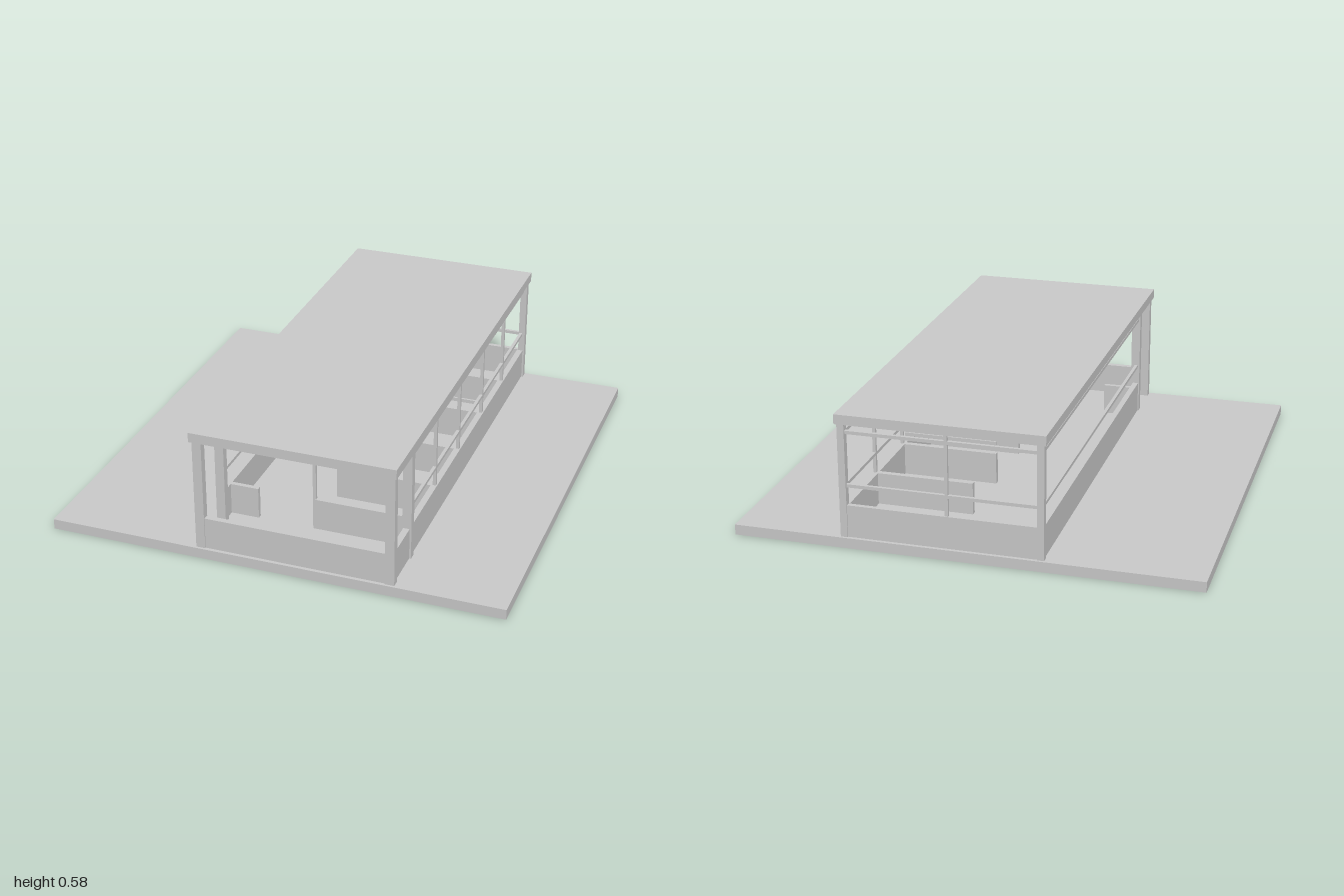
import * as THREE from 'three';

const mat = new THREE.MeshStandardMaterial({ color: 0xcccccc, flatShading: true });

export function createModel() {
  const root = new THREE.Group();

  // box given by its limits on each axis
  const box = (name, x0, x1, y0, y1, z0, z1) => {
    const mesh = new THREE.Mesh(new THREE.BoxGeometry(x1 - x0, y1 - y0, z1 - z0), mat);
    mesh.name = name;
    mesh.position.set((x0 + x1) / 2, (y0 + y1) / 2, (z0 + z1) / 2);
    root.add(mesh);
  };

  const ground = 0.045, sill = 0.185, ceiling = 0.54;
  const left = 0.525, right = -0.34; // outer faces of the building

  // platform and flat roof
  box('platform', -0.99, 0.99, 0, ground, -1, 1);
  box('roof', -0.345, 0.533, ceiling, 0.582, -1, 1);

  // posts at the back corners, beside the entrance and at the porch corners
  for (const [z0, z1, width] of [[-0.99, -0.96, 0.03], [0.745, 0.778, 0.04], [0.957, 0.99, 0.04]]) {
    box('rightPost', right + 0.005, right + 0.005 + width, ground, ceiling, z0, z1);
    box('leftPost', left - width, left, ground, ceiling, z0, z1);
  }

  // low walls; the porch is open on the right side
  box('frontWall', right + 0.045, left - 0.04, ground, sill, 0.96, 0.985);
  box('backWall', right + 0.035, left - 0.03, ground, sill, -0.985, -0.965);
  box('leftWall', left - 0.035, left - 0.008, ground, sill, -0.96, 0.745);
  box('leftPorchWall', left - 0.035, left - 0.008, ground, sill, 0.778, 0.957);
  box('rightWall', right + 0.01, right + 0.035, ground, sill, -0.96, 0.745);

  // window rails on three sides
  for (const y of [0.27, 0.502]) {
    const y0 = y - 0.007, y1 = y + 0.007;
    box('leftRail', left - 0.027, left - 0.013, y0, y1, -0.96, 0.745);
    box('rightRail', right + 0.013, right + 0.027, y0, y1, -0.96, 0.745);
    box('backRail', right + 0.035, left - 0.03, y0, y1, -0.982, -0.968);
  }

  // window mullions on the left and back
  const bays = [0.405, 0.07, -0.285, -0.625];
  for (const z of bays)
    box('leftMullion', left - 0.027, left - 0.013, sill, ceiling, z - 0.007, z + 0.007);
  box('backMullion', 0.065, 0.079, sill, ceiling, -0.982, -0.968);

  // booth partitions along the left wall
  for (const z of bays)
    box('partition', 0.07, left - 0.035, ground, sill, z - 0.012, z + 0.012);
  box('partitionRail', 0.07, left - 0.035, 0.222, 0.238, -0.29, -0.28);

  // entrance screen with a doorway between its two panels
  box('entranceLeftPanel', 0.07, left - 0.035, ground, sill, 0.673, 0.693);
  box('entranceRightPanel', right + 0.035, -0.18, ground, sill, 0.673, 0.693);
  box('entrancePost', 0.065, 0.079, ground, ceiling, 0.676, 0.69);

  return root;
}
